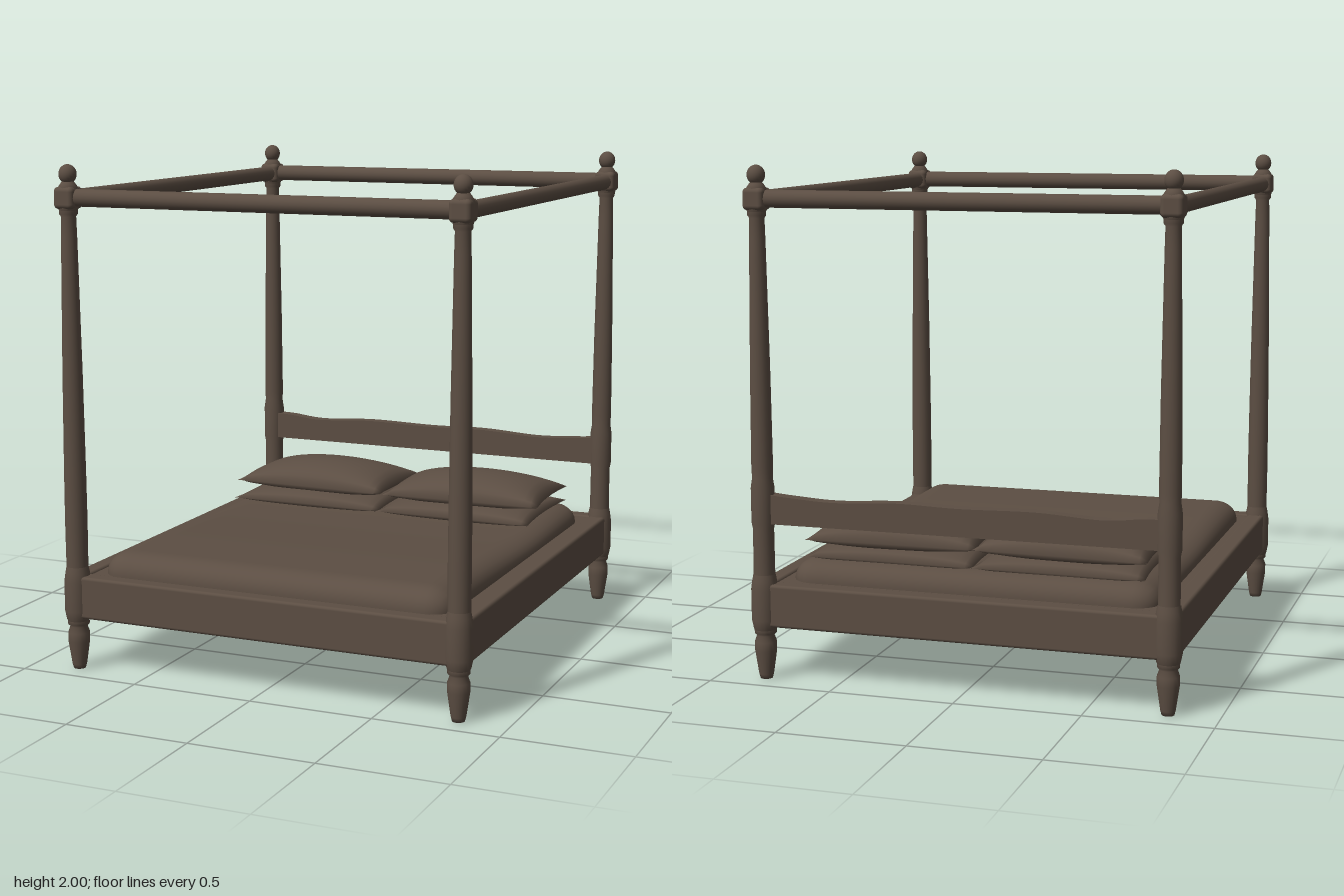
import * as THREE from 'three';
import { mergeVertices } from 'three/addons/utils/BufferGeometryUtils.js';
import { RoundedBoxGeometry } from 'three/addons/geometries/RoundedBoxGeometry.js';

const wood = new THREE.MeshStandardMaterial({ color: 0x5c4e43 });
wood.name = 'dark brown';

const PX = 0.805, PZ = 0.9; // post centres

function add(group, name, geometry, x = 0, y = 0, z = 0) {
  const mesh = new THREE.Mesh(geometry, wood);
  mesh.name = name;
  mesh.position.set(x, y, z);
  group.add(mesh);
  return mesh;
}

// Move every vertex by a rule, then weld and smooth
function reshape(geometry, rule) {
  const pos = geometry.attributes.position, v = new THREE.Vector3();
  for (let i = 0; i < pos.count; i++) {
    rule(v.fromBufferAttribute(pos, i));
    pos.setXYZ(i, v.x, v.y, v.z);
  }
  geometry.deleteAttribute('normal');
  geometry.deleteAttribute('uv');
  const welded = mergeVertices(geometry, 1e-5);
  welded.computeVertexNormals();
  return welded;
}

const lathe = (points) =>
  new THREE.LatheGeometry(points.map(([r, y]) => new THREE.Vector2(r, y)), 20);

// Turned post: foot, bulged block, tapering shaft, neck and ball finial
function bedPost(isBack) {
  const post = new THREE.Group();
  post.name = isBack ? 'backPost' : 'frontPost';
  add(post, 'foot', lathe([[0, 0], [0.024, 0.002], [0.029, 0.02], [0.043, 0.115],
    [0.043, 0.15], [0.034, 0.175], [0.043, 0.185], [0.043, 0.2]]));
  add(post, 'lowerBlock', lathe([[0.036, 0.185], [0.046, 0.205], [0.053, 0.24], [0.053, 0.36],
    [0.048, 0.395], [0.043, 0.42]]));
  const shaft = isBack
    ? [[0.042, 0.41], [0.041, 0.6], [0.046, 0.625], [0.046, 0.76], [0.04, 0.8], [0.042, 0.84]]
    : [[0.043, 0.41], [0.044, 0.6], [0.043, 0.8]];
  add(post, 'shaft', lathe([...shaft, [0.039, 1.2], [0.031, 1.72], [0.029, 1.8], [0.036, 1.81], [0.036, 1.835]]));
  add(post, 'capBlock', new RoundedBoxGeometry(0.085, 0.085, 0.092, 3, 0.018), 0, 1.872, 0);
  add(post, 'capTaper', lathe([[0.03, 1.81], [0.043, 1.84], [0.043, 1.905], [0.03, 1.925], [0.022, 1.935]]));
  const ball = add(post, 'finial', new THREE.SphereGeometry(0.035, 20, 14), 0, 1.962, 0);
  ball.scale.y = 1.08;
  return post;
}

// Soft block with rounded edges and a gently sagging top
function mattressGeometry() {
  const half = new THREE.Vector3(0.74, 0.1, 0.84), r = new THREE.Vector3(0.1, 0.085, 0.1);
  const inner = new THREE.Vector3(), d = new THREE.Vector3();
  const box = new THREE.BoxGeometry(half.x * 2, half.y * 2, half.z * 2, 48, 10, 56);
  return reshape(box, (p) => {
    const limit = half.clone().sub(r);
    inner.copy(p).clamp(limit.clone().negate(), limit);
    d.copy(p).sub(inner).divide(r).normalize().multiply(r);
    p.copy(inner).add(d);
    if (p.y > 0) {
      const sag = 0.022 * Math.exp(-(((p.z + 0.15) / 0.45) ** 2));
      p.y -= sag * (p.y / half.y);
    }
  });
}

// Cushion with a thin seam and corners drawn outward
function pillowGeometry(w, d, up, down) {
  return reshape(new THREE.BoxGeometry(2, 2, 2, 22, 1, 22), (p) => {
    const u = p.x, v = p.z;
    const puff = Math.pow(Math.max(0, (1 - u * u) * (1 - v * v)), 0.48);
    p.set(
      (w / 2) * u * (1 - 0.05 * (1 - v * v)),
      p.y > 0 ? puff * up : -puff * down,
      (d / 2) * v * (1 - 0.05 * (1 - u * u))
    );
  });
}

// Headboard plank with a softly waving top edge
function headboardGeometry() {
  const s = new THREE.Shape();
  s.moveTo(-0.78, 0.622);
  s.lineTo(0.78, 0.622);
  s.lineTo(0.78, 0.738);
  s.splineThru([[0.68, 0.73], [0.5, 0.722], [0.25, 0.735], [0, 0.73],
    [-0.3, 0.735], [-0.55, 0.722], [-0.7, 0.735], [-0.78, 0.738]]
    .map(([x, y]) => new THREE.Vector2(x, y)));
  s.closePath();
  return new THREE.ExtrudeGeometry(s, { depth: 0.05, bevelEnabled: false, curveSegments: 32 });
}

export function createModel() {
  const bed = new THREE.Group();
  bed.name = 'fourPosterBed';

  // Posts
  for (const sx of [-1, 1]) for (const sz of [-1, 1]) {
    const post = bedPost(sz < 0);
    post.position.set(sx * PX, 0, sz * PZ);
    bed.add(post);
  }

  // Canopy rails and bed frame rails
  for (const s of [-1, 1]) {
    const cross = add(bed, 'canopyCrossRail', new THREE.CylinderGeometry(0.034, 0.034, PX * 2, 16), 0, 1.873, s * PZ);
    cross.rotation.z = Math.PI / 2;
    const side = add(bed, 'canopySideRail', new THREE.CylinderGeometry(0.032, 0.032, PZ * 2, 16), s * PX, 1.87, 0);
    side.rotation.x = Math.PI / 2;
    add(bed, 'endRail', new RoundedBoxGeometry(PX * 2, 0.17, 0.07, 2, 0.012), 0, 0.299, s * 0.9);
    add(bed, 'sideRail', new RoundedBoxGeometry(0.07, 0.17, PZ * 2, 2, 0.012), s * 0.805, 0.299, 0);
  }
  add(bed, 'bedBase', new THREE.BoxGeometry(1.58, 0.145, 1.77), 0, 0.3025, 0);
  add(bed, 'headboard', headboardGeometry(), 0, 0, -PZ - 0.02);

  // Bedding
  add(bed, 'mattress', mattressGeometry(), 0, 0.363, 0.01);
  for (const s of [-1, 1]) {
    add(bed, 'lowerPillow', pillowGeometry(0.69, 0.54, 0.06, 0.04), s * 0.34, 0.468, -0.51);
    const top = add(bed, 'upperPillow', pillowGeometry(0.7, 0.46, 0.092, 0.05), s * 0.348, 0.532, -0.53);
    top.rotation.y = s * 0.03;
  }
  return bed;
}
